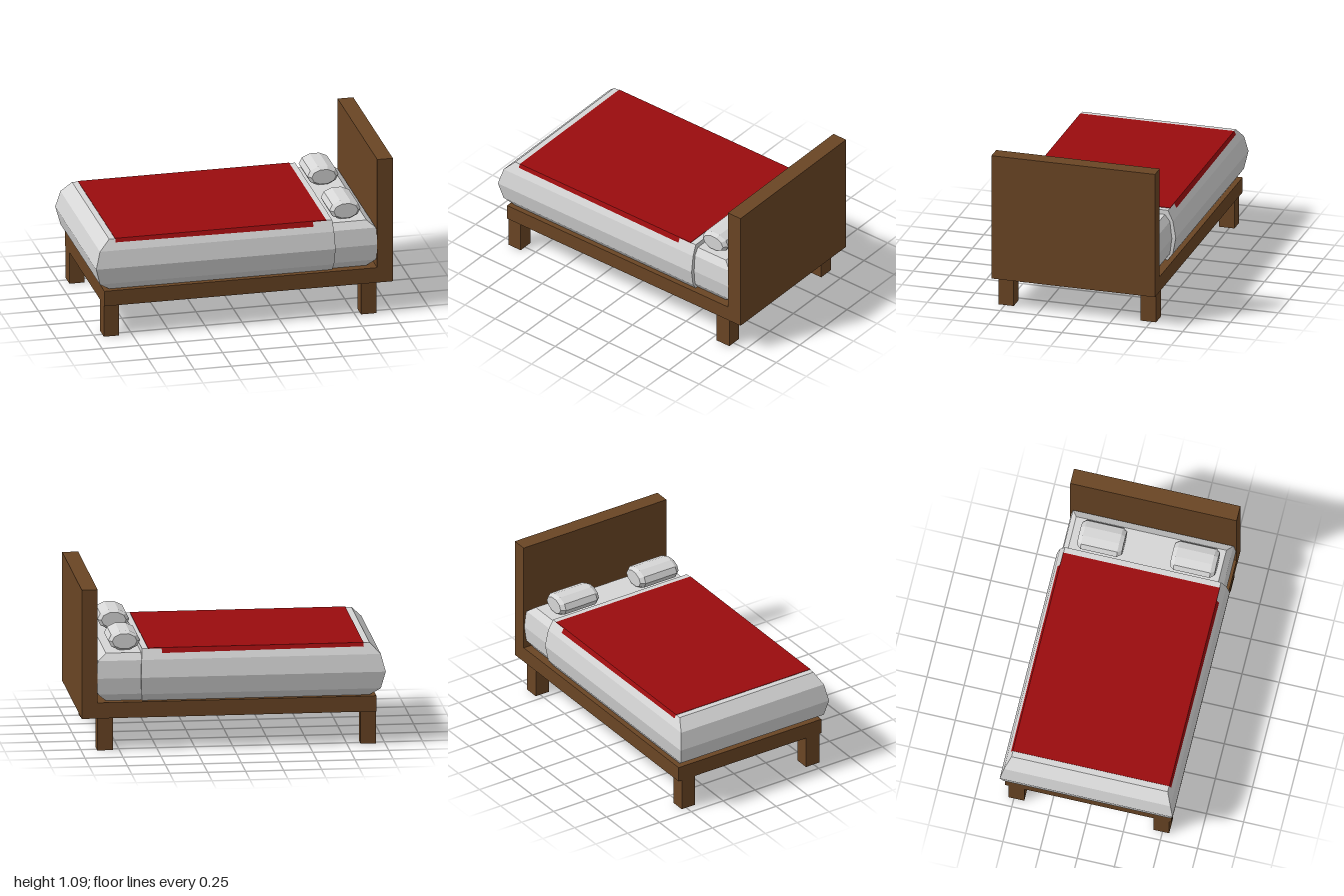
import * as THREE from 'three';

const wood = new THREE.MeshStandardMaterial({ color: 0x6a4524 });
wood.name = 'brown wood';
const linen = new THREE.MeshStandardMaterial({ color: 0xd6d6d6 });
linen.name = 'white linen';
const red = new THREE.MeshStandardMaterial({ color: 0x9a0c0e });
red.name = 'red blanket';

// Box given by its limits on each axis
function box(name, mat, [x0, x1], [y0, y1], [z0, z1]) {
  const mesh = new THREE.Mesh(new THREE.BoxGeometry(x1 - x0, y1 - y0, z1 - z0), mat);
  mesh.position.set((x0 + x1) / 2, (y0 + y1) / 2, (z0 + z1) / 2);
  mesh.name = name;
  return mesh;
}

// Faceted solid through cross-sections, each counter-clockwise about the direction of travel
function loft(name, mat, rings) {
  const pos = [];
  const tri = (...pts) => pts.forEach((p) => pos.push(...p));
  const n = rings[0].length;
  for (let r = 0; r < rings.length - 1; r++) {
    const a = rings[r], b = rings[r + 1];
    for (let i = 0; i < n; i++) {
      const j = (i + 1) % n;
      tri(a[i], a[j], b[j]);
      tri(a[i], b[j], b[i]);
    }
  }
  const first = rings[0], last = rings[rings.length - 1];
  for (let i = 1; i < n - 1; i++) {
    tri(first[0], first[i + 1], first[i]);
    tri(last[0], last[i], last[i + 1]);
  }
  const geo = new THREE.BufferGeometry();
  geo.setAttribute('position', new THREE.Float32BufferAttribute(pos, 3));
  geo.computeVertexNormals();
  const mesh = new THREE.Mesh(geo, mat);
  mesh.name = name;
  return mesh;
}

// Horizontal rectangle used as a cross-section
const layer = (y, x0, x1, z) => [[x0, y, z], [x1, y, z], [x1, y, -z], [x0, y, -z]];

function createPillow(name, zc) {
  const sides = 10, rings = [];
  for (const [z, s] of [[-0.15, 0.78], [-0.122, 1], [0.122, 1], [0.15, 0.78]]) {
    const ring = [];
    for (let i = 0; i < sides; i++) {
      const a = (i / sides) * Math.PI * 2;
      ring.push([Math.cos(a) * 0.105 * s, Math.sin(a) * 0.067 * s, z]);
    }
    rings.push(ring);
  }
  const pillow = loft(name, linen, rings);
  pillow.position.set(0.705, 0.709, zc);
  return pillow;
}

export function createModel() {
  const bed = new THREE.Group();
  bed.name = 'bed';

  // Wooden frame
  bed.add(box('baseFrame', wood, [-0.94, 0.895], [0.22, 0.325], [-0.56, 0.56]));
  bed.add(box('headboard', wood, [0.895, 1], [0.22, 1.085], [-0.56, 0.56]));
  for (const [x0, x1] of [[-0.94, -0.84], [0.79, 0.895]]) {
    for (const [z0, z1] of [[0.44, 0.545], [-0.535, -0.43]]) {
      bed.add(box('leg', wood, [x0, x1], [0, 0.221], [z0, z1]));
    }
  }

  // Mattress with chamfered edges, mostly covered by the duvet
  bed.add(loft('mattress', linen, [
    layer(0.326, -0.8, 0.835, 0.505),
    layer(0.375, -0.86, 0.89, 0.54),
    layer(0.485, -0.9, 0.92, 0.555),
    layer(0.6, -0.86, 0.89, 0.54),
    layer(0.645, -0.8, 0.835, 0.505),
  ]));

  // Puffy duvet
  bed.add(loft('duvet', linen, [
    layer(0.326, -0.9, 0.6, 0.525),
    layer(0.375, -0.97, 0.605, 0.56),
    layer(0.49, -1, 0.61, 0.582),
    layer(0.605, -0.97, 0.605, 0.56),
    layer(0.675, -0.9, 0.6, 0.525),
  ]));

  // Red blanket: top panel and narrow overhangs on the sloping sides
  bed.add(box('blanketTop', red, [-0.86, 0.56], [0.672, 0.678], [-0.527, 0.527]));
  for (const s of [1, -1]) {
    const lower = [[-0.86, 0.654, 0.539 * s], [0.47, 0.645, 0.5435 * s]];
    const upper = [[0.47, 0.678, 0.527 * s], [-0.86, 0.678, 0.527 * s]];
    const quad = [...lower, ...upper];
    const order = s > 0 ? [0, 1, 2, 0, 2, 3] : [0, 2, 1, 0, 3, 2];
    const geo = new THREE.BufferGeometry();
    geo.setAttribute('position', new THREE.Float32BufferAttribute(quad.flat(), 3));
    geo.setIndex(order);
    geo.computeVertexNormals();
    const overhang = new THREE.Mesh(geo, red);
    overhang.name = 'blanketOverhang';
    bed.add(overhang);
  }

  // Pillows
  bed.add(createPillow('frontPillow', 0.325));
  bed.add(createPillow('backPillow', -0.3));

  return bed;
}
